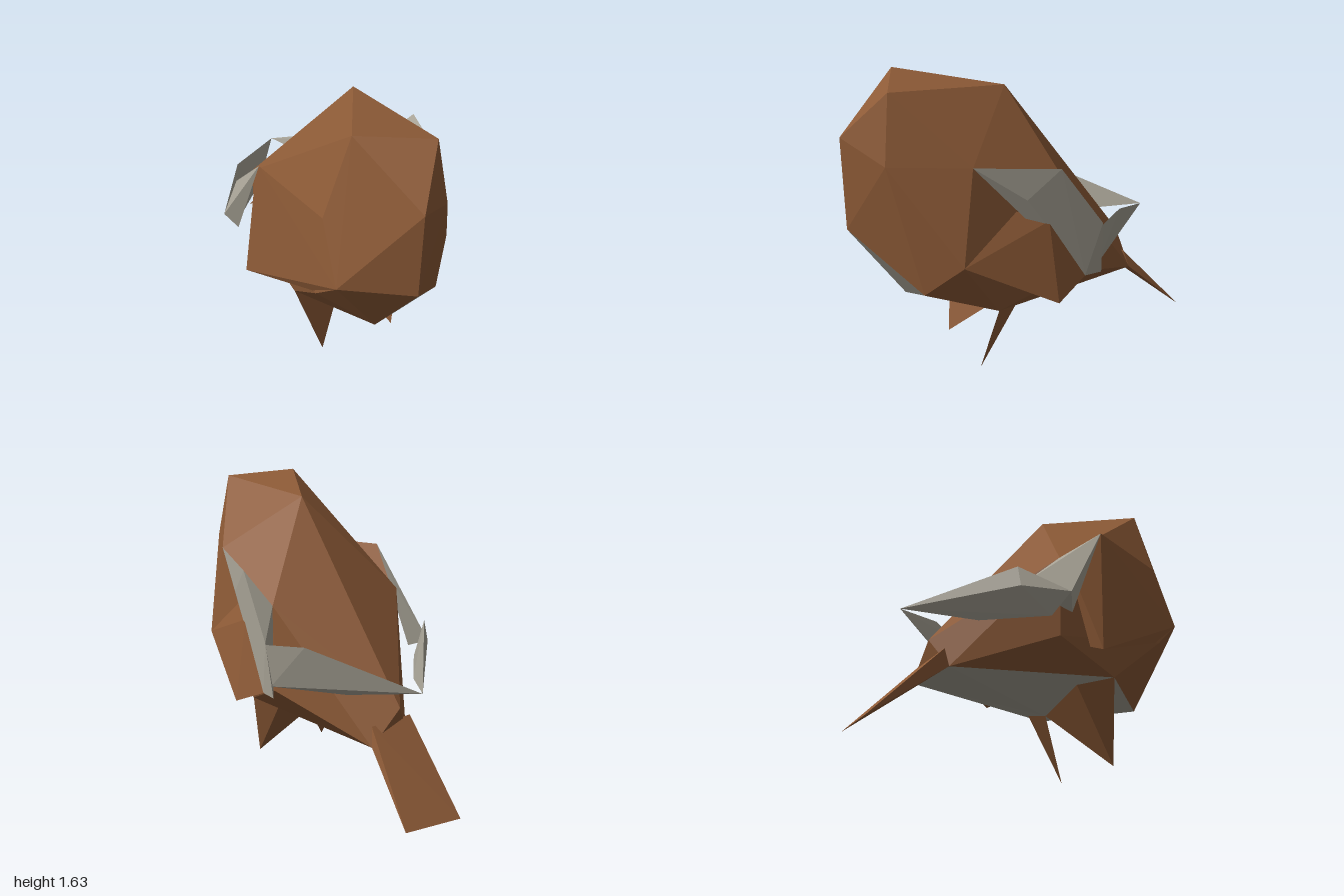
import * as THREE from 'three';
import { ConvexGeometry } from 'three/addons/geometries/ConvexGeometry.js';

const brown = new THREE.MeshStandardMaterial({ color: 0x8e5b37, flatShading: true, side: THREE.DoubleSide });
const grey = new THREE.MeshStandardMaterial({ color: 0xaaa598, flatShading: true, side: THREE.DoubleSide });

const vecs = (pts) => pts.map((p) => new THREE.Vector3(...p));

// faceted solid wrapped around a few corner points
function facet(name, pts, material) {
  const mesh = new THREE.Mesh(new ConvexGeometry(vecs(pts)), material);
  mesh.name = name;
  return mesh;
}

// keep only the triangles that pass a test on their three corners
function pick(geometry, test) {
  const pos = geometry.attributes.position;
  const out = [];
  for (let i = 0; i < pos.count; i += 3) {
    const tri = [0, 1, 2].map((k) => new THREE.Vector3().fromBufferAttribute(pos, i + k));
    if (test(tri)) out.push(...tri);
  }
  const g = new THREE.BufferGeometry().setFromPoints(out);
  g.computeVertexNormals();
  return g;
}

export function createModel() {
  const model = new THREE.Group();
  model.name = 'bird';

  // body: belly corners are shared by the grey underside
  const belly = [
    [0, 0.87, 1], [-0.36, 0.71, 0.62], [0.3, 0.56, 0.71], [-0.05, 0.41, 0.69],
    [-0.34, 0.44, 0.3], [0.32, 0.375, 0.3], [0.05, 0.3, 0.13],
    [-0.1, 0.38, -0.57], [0.17, 0.36, -0.63],
  ];
  const upper = [
    [0, 1.36, 1], [0.17, 1.6, 0.8], [-0.19, 1.63, 0.65], [0.08, 1.54, 0.14],
    [0.22, 1.25, 0.85], [-0.33, 1.2, 0.64], [-0.33, 0.87, 0.79],
    [0.4, 1.24, 0.47], [0.45, 0.74, 0.55], [0.41, 1.02, -0.08], [-0.4, 1.01, -0.1],
    [0.42, 0.56, -0.1], [-0.4, 0.56, -0.1], [0, 0.54, -0.64],
  ];
  const hull = new ConvexGeometry(vecs([...belly, ...upper]));
  const bellyPts = vecs(belly);
  const isBelly = (tri) =>
    tri.every((v) => bellyPts.some((b) => b.distanceTo(v) < 1e-4)) &&
    (tri[0].x + tri[1].x + tri[2].x) / 3 > -0.2;
  const body = new THREE.Mesh(pick(hull, (t) => !isBelly(t)), brown);
  body.name = 'body';
  const under = new THREE.Mesh(pick(hull, isBelly), grey);
  under.name = 'belly';
  model.add(body, under);

  // brown side feathers
  model.add(facet('leftSideFeather', [
    [0.45, 0.74, 0.55], [0.56, 0.48, 0.07], [0.5, 0.57, -0.12],
    [0.48, 0.92, 0.09], [0.4, 0.56, 0], [0.4, 1.0, 0.3],
  ], brown));
  model.add(facet('rightSideFeather', [
    [-0.33, 0.87, 0.79], [-0.33, 1.2, 0.64], [-0.45, 1.22, 0.15],
    [-0.53, 0.48, 0.07], [-0.39, 0.55, 0.1], [-0.36, 0.71, 0.6], [-0.4, 1.01, -0.05],
  ], brown));

  // grey wings: a shoulder plate, then a long tip reaching behind the back
  const tip = [0, 0.67, -0.81];
  model.add(facet('leftWingShoulder', [
    [0.4, 1.24, 0.47], [0.51, 1.2, 0.04], [0.47, 1.05, 0.21], [0.53, 0.87, -0.2],
    [0.5, 0.57, -0.22], [0.5, 0.57, -0.12], [0.41, 1.02, -0.08],
  ], grey));
  model.add(facet('leftWingTip', [
    [0.53, 0.86, -0.2], [0.41, 0.87, -0.38], [0.5, 0.63, -0.2], [0.22, 0.61, -0.48], tip,
  ], grey));
  model.add(facet('rightWingShoulder', [
    [-0.45, 1.22, 0.15], [-0.56, 0.73, -0.15], [-0.5, 0.65, -0.1],
    [-0.4, 1.01, -0.1], [-0.42, 0.76, -0.36],
  ], grey));
  model.add(facet('rightWingTip', [
    [-0.56, 0.73, -0.15], [-0.42, 0.76, -0.36], [-0.39, 0.88, -0.36],
    [-0.46, 0.62, -0.2], [-0.22, 0.61, -0.48], tip,
  ], grey));

  // pointed feet
  model.add(facet('leftFoot', [[0.24, 0, 0.38], [0.32, 0.375, 0.3], [0.05, 0.3, 0.13], [0.24, 0.37, 0.14]], brown));
  model.add(facet('rightFoot', [[-0.21, 0, 0.38], [-0.34, 0.44, 0.3], [0.05, 0.3, 0.13], [-0.22, 0.4, 0.14]], brown));

  // thin tail blade
  model.add(facet('tail', [
    [-0.1, 0.38, -0.57], [0.17, 0.36, -0.63], [-0.1, 0.47, -0.6], [0.15, 0.46, -0.6],
    [-0.11, 0.04, -1], [0.22, 0.05, -0.97],
  ], brown));

  return model;
}
